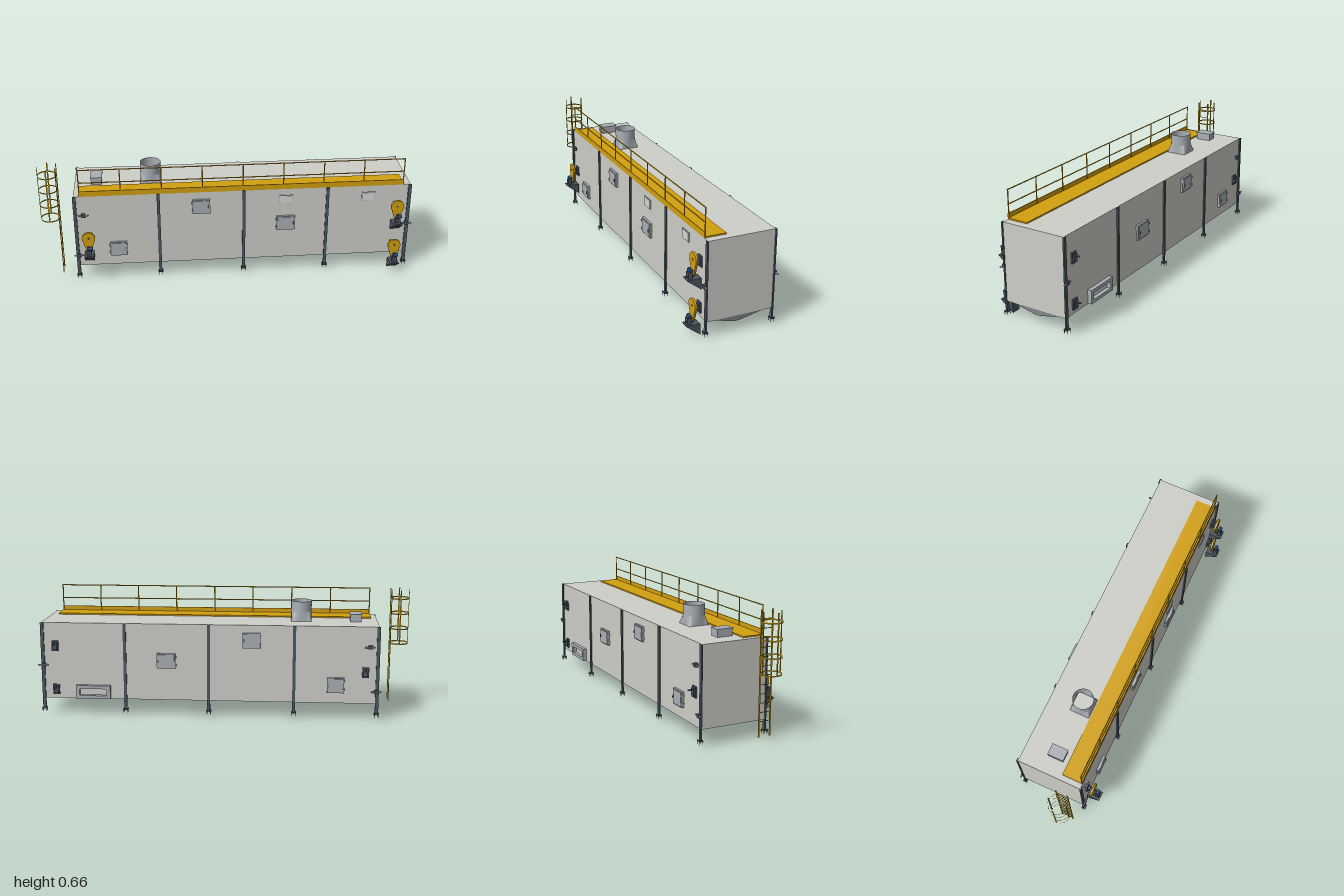
import * as THREE from 'three';

const material = (name, color, side = THREE.FrontSide) => {
  const m = new THREE.MeshStandardMaterial({ color, side });
  m.name = name;
  return m;
};

export function createModel() {
  const wall = material('wall grey', 0xcfcfc9);
  const steel = material('steel grey', 0xaab0b6, THREE.DoubleSide);
  const dark = material('dark frame', 0x4c555f);
  const yellow = material('safety yellow', 0xd3a00f, THREE.DoubleSide);
  const blue = material('motor blue', 0x234a86);
  const white = material('label white', 0xd8d9d8);

  const model = new THREE.Group();
  model.name = 'industrialDryer';

  const add = (name, geo, mat, parent = model) => {
    const mesh = new THREE.Mesh(geo, mat);
    mesh.name = name;
    parent.add(mesh);
    return mesh;
  };
  // Box given by its limits on each axis
  const box = (name, mat, x0, x1, y0, y1, z0, z1, parent) => {
    const g = new THREE.BoxGeometry(x1 - x0, y1 - y0, Math.abs(z1 - z0));
    g.translate((x0 + x1) / 2, (y0 + y1) / 2, (z0 + z1) / 2);
    return add(name, g, mat, parent);
  };
  // Round bar between two points
  const rod = (name, mat, a, b, r, parent, sides = 12) => {
    const p = new THREE.Vector3(...a), q = new THREE.Vector3(...b);
    const mesh = add(name, new THREE.CylinderGeometry(r, r, p.distanceTo(q), sides), mat, parent);
    mesh.position.copy(p).add(q).multiplyScalar(0.5);
    mesh.quaternion.setFromUnitVectors(new THREE.Vector3(0, 1, 0), q.sub(p).normalize());
    return mesh;
  };
  const group = (name) => {
    const g = new THREE.Group();
    g.name = name;
    model.add(g);
    return g;
  };

  // Housing
  const FRONT = 0.156, BACK = -0.196;
  box('housing', wall, -0.819, 0.979, 0.089, 0.505, BACK, FRONT);

  // Columns with feet on both long sides
  for (const x of [-0.815, -0.375, 0.08, 0.53, 0.975]) {
    for (const [z, s] of [[FRONT, 1], [BACK, -1]]) {
      const g = group('column');
      const w = Math.abs(x) > 0.8 ? 0.009 : 0.008;
      box('post', dark, x - w, x + w, 0.034, 0.505, z - s * 0.001, z + s * 0.007, g);
      box('footPlate', dark, x - 0.014, x + 0.014, 0.031, 0.035, z - 0.011 + s * 0.004, z + 0.011 + s * 0.004, g);
      for (const dx of [-0.01, 0.01]) for (const dz of [-0.009, 0.009])
        rod('anchorBolt', dark, [x + dx, 0.016, z + s * 0.004 + dz], [x + dx, 0.042, z + s * 0.004 + dz], 0.0015, g, 6);
    }
  }

  // Inspection doors, hinges and handles, same on both long sides
  const doors = [[-0.148, 0.423, 0.047], [-0.595, 0.188, 0.045], [0.307, 0.305, 0.05]];
  for (const [x, y, hw] of doors) {
    for (const [z, s] of [[FRONT, 1], [BACK, -1]]) {
      const g = group('inspectionDoor');
      box('doorFrame', steel, x - hw, x + hw, y - 0.041, y + 0.041, z, z + s * 0.012, g);
      box('doorLeaf', steel, x - hw + 0.005, x + hw - 0.005, y - 0.036, y + 0.036, z + s * 0.012, z + s * 0.016, g);
      for (const dy of [-0.022, 0.022])
        box('hinge', steel, x - hw - 0.004, x - hw + 0.004, y + dy - 0.006, y + dy + 0.006, z, z + s * 0.018, g);
      box('handle', dark, x + hw - 0.011, x + hw - 0.007, y - 0.008, y + 0.008, z + s * 0.016, z + s * 0.021, g);
    }
  }

  // Small cover plates on the front
  for (const x of [0.306, 0.751]) {
    box('coverRim', steel, x - 0.036, x + 0.036, 0.419, 0.469, FRONT, FRONT + 0.004);
    box('coverPlate', white, x - 0.033, x + 0.033, 0.422, 0.466, FRONT + 0.004, FRONT + 0.006);
  }

  // Air inlet frame on the back
  const inlet = new THREE.Shape([[0.61, 0.092], [0.797, 0.092], [0.797, 0.165], [0.61, 0.165]].map(p => new THREE.Vector2(...p)));
  inlet.holes.push(new THREE.Path([[0.63, 0.11], [0.63, 0.147], [0.777, 0.147], [0.777, 0.11]].map(p => new THREE.Vector2(...p))));
  add('airInlet', new THREE.ExtrudeGeometry(inlet, { depth: 0.022, bevelEnabled: false }), steel).position.z = BACK - 0.022;

  // Exhaust: square base blending into a round open pipe
  const exhaust = group('exhaust');
  exhaust.position.set(-0.41, 0.505, -0.018);
  const R = 0.055, N = 48, pos = [], idx = [];
  for (let i = 0; i <= N; i++) {
    const a = (i / N) * Math.PI * 2, c = Math.cos(a), s = Math.sin(a);
    const k = R / Math.max(Math.abs(c), Math.abs(s));
    pos.push(c * k, 0, s * k, c * R, 0.05, s * R);
    if (i < N) idx.push(2 * i, 2 * i + 1, 2 * i + 2, 2 * i + 1, 2 * i + 3, 2 * i + 2);
  }
  const transition = new THREE.BufferGeometry();
  transition.setAttribute('position', new THREE.Float32BufferAttribute(pos, 3));
  transition.setIndex(idx);
  transition.computeVertexNormals();
  add('squareToRound', transition, steel, exhaust);
  add('exhaustPipe', new THREE.CylinderGeometry(R, R, 0.057, N, 1, true), steel, exhaust).position.y = 0.0785;

  // Roof vent box
  box('roofVent', steel, -0.73, -0.673, 0.505, 0.54, -0.065, 0.018);
  box('roofVentLid', steel, -0.733, -0.67, 0.54, 0.546, -0.068, 0.021);

  // Discharge trough under the left end, tapering downward
  const trough = new THREE.BoxGeometry(0.05, 0.04, 0.275).toNonIndexed();
  const tp = trough.attributes.position;
  for (let i = 0; i < tp.count; i++) if (tp.getY(i) < 0) {
    tp.setZ(i, Math.sign(tp.getZ(i)) * 0.016);
    tp.setX(i, tp.getX(i) * 0.3);
  }
  trough.computeVertexNormals();
  add('dischargeTrough', trough, steel).position.set(0.952, 0.07, -0.017);

  // Walkway and guard rail
  const walkway = group('walkway');
  box('deck', yellow, -0.79, 0.94, 0.505, 0.512, 0.043, 0.157, walkway);
  box('toeBoard', yellow, -0.79, 0.94, 0.508, 0.535, 0.153, 0.157, walkway);
  for (let i = 0; i <= 8; i++) {
    const x = -0.787 + i * 0.2155;
    rod('railPost', yellow, [x, 0.51, 0.152], [x, 0.655, 0.152], 0.003, walkway, 8);
  }
  for (const y of [0.582, 0.655]) rod('rail', yellow, [-0.79, y, 0.152], [0.94, y, 0.152], 0.003, walkway, 8);

  // Access ladder with safety cage
  const ladder = group('ladder');
  for (const z of [0.071, 0.133]) box('stringer', yellow, -0.904, -0.9, 0.035, 0.66, z - 0.0035, z + 0.0035, ladder);
  for (let i = 0; i < 13; i++) {
    const y = 0.068 + i * 0.0457;
    rod('rung', yellow, [-0.902, y, 0.071], [-0.902, y, 0.133], 0.002, ladder, 8);
  }
  for (const y of [0.36, 0.443, 0.527, 0.61])
    add('cageHoop', new THREE.CylinderGeometry(0.05, 0.05, 0.007, 40, 1, true), yellow, ladder).position.set(-0.95, y, 0.102);
  for (const a of [90, 180, 270]) {
    const bar = add('cageBar', new THREE.BoxGeometry(0.002, 0.304, 0.007), yellow, ladder);
    const t = THREE.MathUtils.degToRad(a);
    bar.position.set(-0.95 + 0.049 * Math.cos(t), 0.508, 0.102 + 0.049 * Math.sin(t));
    bar.rotation.y = -t;
  }

  // Drive guard outline: large pulley above, small pulley below
  const guard = new THREE.Shape();
  guard.absarc(0, 0, 0.035, -0.3, Math.PI + 0.3, false);
  guard.absarc(0, -0.07, 0.013, Math.PI + 0.3, Math.PI * 2 - 0.3, false);
  const guardGeo = new THREE.ExtrudeGeometry(guard, { depth: 0.011, bevelEnabled: false, curveSegments: 24 });
  const bracketShape = new THREE.Shape([[0.163, -0.152], [0.235, -0.097], [0.235, -0.093], [0.163, -0.093]].map(p => new THREE.Vector2(...p)));
  const bracketGeo = new THREE.ExtrudeGeometry(bracketShape, { depth: 0.05, bevelEnabled: false });
  bracketGeo.rotateY(-Math.PI / 2).translate(0.025, 0, 0);

  // Conveyor drives on the front, shaft bearings on both sides
  for (const [x, y] of [[0.907, 0.393], [0.907, 0.153], [-0.752, 0.274]]) {
    const g = group('drive');
    g.position.set(x, y, 0);
    add('beltGuard', guardGeo, yellow, g).position.z = 0.187;
    rod('guardHub', dark, [0, 0, 0.156], [0, 0, 0.2], 0.005, g);
    add('motorBracket', bracketGeo, dark, g);
    box('gearbox', dark, -0.012, 0.014, -0.093, -0.06, 0.204, 0.226, g);
    rod('gearShaft', dark, [0, -0.083, 0.186], [0, -0.083, 0.231], 0.005, g);
    rod('motor', blue, [-0.006, -0.05, 0.215], [0.02, -0.05, 0.215], 0.0095, g, 20);
    rod('motorFlange', blue, [0.0, -0.062, 0.215], [0.0, -0.04, 0.215], 0.008, g, 16);
    for (const [z, s] of [[FRONT, 1], [BACK, -1]]) {
      box('bearingPlate', dark, -0.018, 0.018, -0.042, 0.014, z, z + s * 0.008, g);
      box('bearingBlock', dark, -0.012, 0.012, -0.034, 0.006, z, z + s * 0.016, g);
    }
    rod('shaftEnd', dark, [0, -0.003, BACK], [0, -0.003, -0.234], 0.004, g);
  }

  // Belt tensioners on both long sides
  for (const [x, y] of [[-0.772, 0.397], [-0.81, 0.157], [0.972, 0.275]]) {
    for (const [z, s] of [[FRONT, 1], [BACK, -1]]) {
      const g = group('tensioner');
      rod('tensionRod', steel, [x - 0.026, y, z + s * 0.013], [x + 0.028, y, z + s * 0.013], 0.004, g);
      box('tensionBlock', dark, x - 0.012, x + 0.01, y - 0.009, y + 0.009, z, z + s * 0.018, g);
    }
  }
  return model;
}
